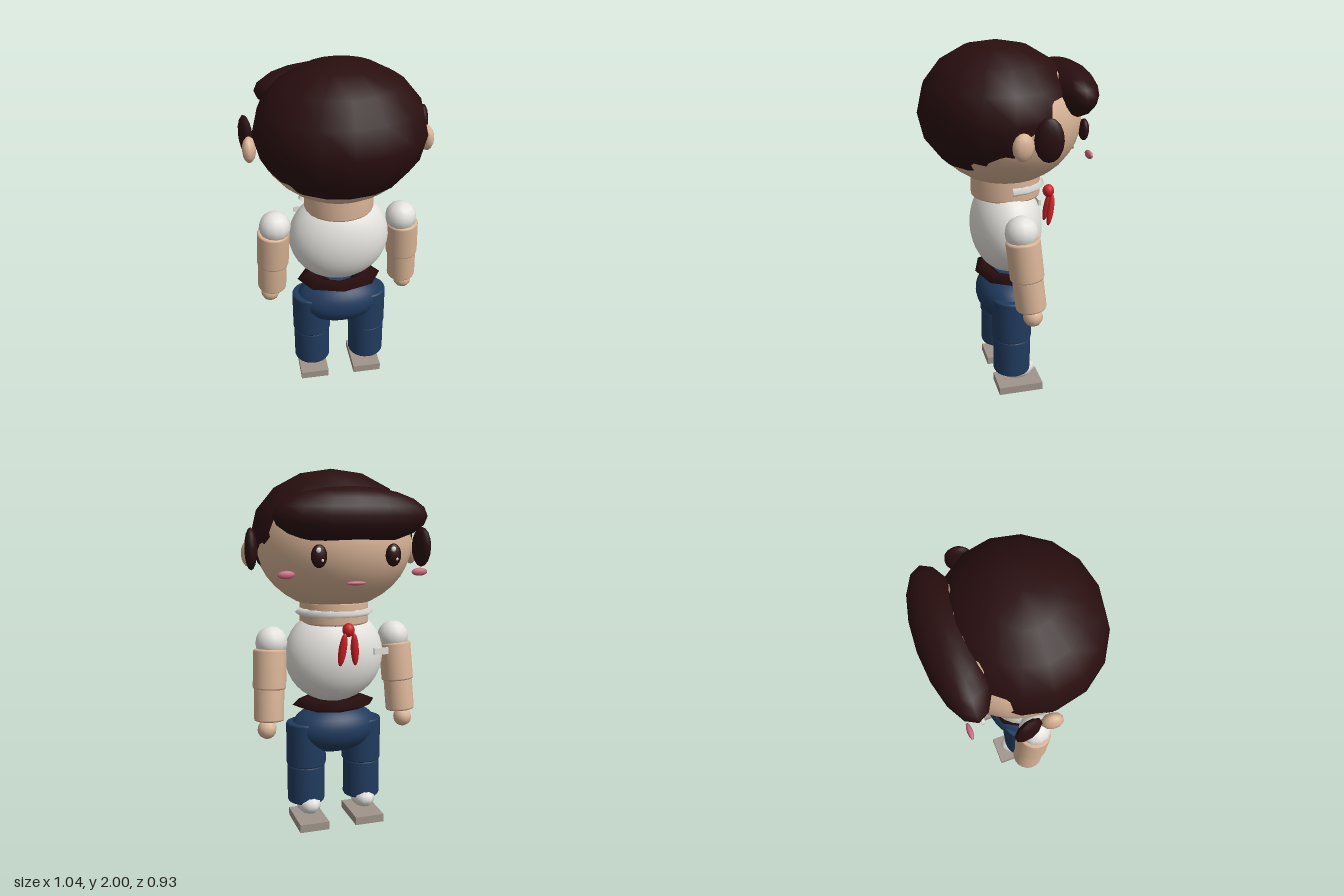
import * as THREE from 'three';

const mat = (name, color, side = THREE.FrontSide) => {
  const m = new THREE.MeshStandardMaterial({ color, side });
  m.name = name;
  return m;
};

export function createModel() {
  const model = new THREE.Group();
  model.name = 'figure';

  const hair = mat('dark brown', 0x290e0f);
  const skin = mat('skin', 0xd9b496);
  const white = mat('off white', 0xe4e2dd, THREE.DoubleSide);
  const blue = mat('denim blue', 0x203b5e);
  const sole = mat('warm grey', 0xa0958b);
  const red = mat('red', 0xcc2226);
  const pink = mat('pink', 0xc76a7c);

  const add = (name, geo, material, pos, rot = [0, 0, 0]) => {
    const mesh = new THREE.Mesh(geo, material);
    mesh.name = name;
    mesh.position.set(...pos);
    mesh.rotation.set(...rot);
    model.add(mesh);
    return mesh;
  };

  const ball = (name, material, pos, radii, rot, w = 16, h = 12) =>
    add(name, new THREE.SphereGeometry(1, w, h).scale(...radii), material, pos, rot);

  // Cylinder with softened rims, running between two points
  const limb = (name, material, from, to, r) => {
    const a = new THREE.Vector3(...from), b = new THREE.Vector3(...to);
    const len = a.distanceTo(b), e = 0.012;
    const profile = [
      [0, -len / 2], [r - e, -len / 2], [r - e * 0.3, -len / 2 + e * 0.3], [r, -len / 2 + e],
      [r, len / 2 - e], [r - e * 0.3, len / 2 - e * 0.3], [r - e, len / 2], [0, len / 2],
    ].map(([x, y]) => new THREE.Vector2(x, y));
    const mesh = add(name, new THREE.LatheGeometry(profile, 24), material,
      a.clone().add(b).multiplyScalar(0.5).toArray());
    mesh.quaternion.setFromUnitVectors(new THREE.Vector3(0, 1, 0), a.sub(b).normalize());
  };

  // Head and hair (the face looks toward -z)
  ball('head', skin, [0, 1.6, 0], [0.43, 0.36, 0.41], undefined, 28, 18);
  ball('hair', hair, [0, 1.64, 0.045], [0.455, 0.36, 0.42], undefined, 16, 8);
  ball('fringe', hair, [0, 1.745, -0.315], [0.415, 0.147, 0.15], undefined, 16, 10);
  ball('mouth', pink, [0, 1.412, -0.38], [0.055, 0.011, 0.014], undefined, 12, 8);

  // Torso
  limb('neck', skin, [0, 1.29, -0.007], [0, 1.163, -0.007], 0.193);
  ball('shirt', white, [0, 0.98, -0.007], [0.285, 0.27, 0.2], undefined, 28, 18);
  ball('hips', blue, [0, 0.555, -0.005], [0.255, 0.145, 0.168], undefined, 28, 18);

  const belt = new THREE.TorusGeometry(0.165, 0.08, 4, 8);
  belt.rotateX(Math.PI / 2).scale(1, 0.44, 0.71);
  add('belt', belt, hair, [0, 0.7, -0.003]);

  // Half-ring collar around the front of the neck
  const collar = new THREE.TorusGeometry(0.195, 0.03, 4, 8, Math.PI);
  collar.rotateX(-Math.PI / 2).scale(1, 0.75, 1);
  add('collar', collar, white, [0, 1.228, 0]);

  // Neckerchief and chest badge
  ball('scarfKnot', red, [0, 1.155, -0.26], [0.033, 0.037, 0.033]);
  add('badge', new THREE.BoxGeometry(0.08, 0.035, 0.016), white, [-0.187, 1.03, -0.255]);

  // Paired parts
  for (const s of [1, -1]) {
    const side = s > 0 ? 'left' : 'right';

    ball(side + 'Ear', skin, [s * 0.472, 1.548, 0.02], [0.036, 0.07, 0.056], [0, s * 0.2, 0], 10, 8);
    ball(side + 'Sideburn', hair, [s * 0.482, 1.578, -0.105], [0.033, 0.11, 0.076], [0, -s * 0.25, 0], 10, 8);
    ball(side + 'Eye', hair, [s * 0.197, 1.55, -0.382], [0.042, 0.058, 0.026]);
    ball(side + 'EyeGlint', white, [s * 0.197 + 0.008, 1.58, -0.403], [0.013, 0.014, 0.008], undefined, 8, 6);
    ball(side + 'SmallGlint', white, [s * 0.197 - 0.012, 1.53, -0.406], [0.007, 0.008, 0.005], undefined, 8, 6);
    ball(side + 'Cheek', pink, [s * 0.357, 1.46, -0.355], [0.045, 0.021, 0.015], undefined, 12, 8);
    ball(side + 'ScarfTail', red, [s * 0.034, 1.05, -0.264], [0.022, 0.092, 0.019], [-0.16, 0, s * 0.1]);

    // Arm, leaning slightly forward
    ball(side + 'Shoulder', white, [s * 0.36, 1.065, -0.006], [0.09, 0.09, 0.09], undefined, 12, 8);
    limb(side + 'UpperArm', skin, [s * 0.37, 1.03, -0.01], [s * 0.382, 0.81, -0.034], 0.092);
    limb(side + 'Forearm', skin, [s * 0.383, 0.82, -0.034], [s * 0.392, 0.635, -0.056], 0.083);
    ball(side + 'Hand', skin, [s * 0.405, 0.59, -0.062], [0.054, 0.054, 0.054], undefined, 10, 8);

    // Leg
    limb(side + 'Thigh', blue, [s * 0.167, 0.6, -0.005], [s * 0.167, 0.345, -0.005], 0.113);
    limb(side + 'Shin', blue, [s * 0.169, 0.35, -0.005], [s * 0.169, 0.127, -0.005], 0.107);
    ball(side + 'Sock', white, [s * 0.165, 0.122, -0.04], [0.07, 0.062, 0.104], undefined, 10, 8);
    add(side + 'Shoe', new THREE.BoxGeometry(0.17, 0.046, 0.26), sole, [s * 0.165, 0.023, -0.045]);
  }
  return model;
}
